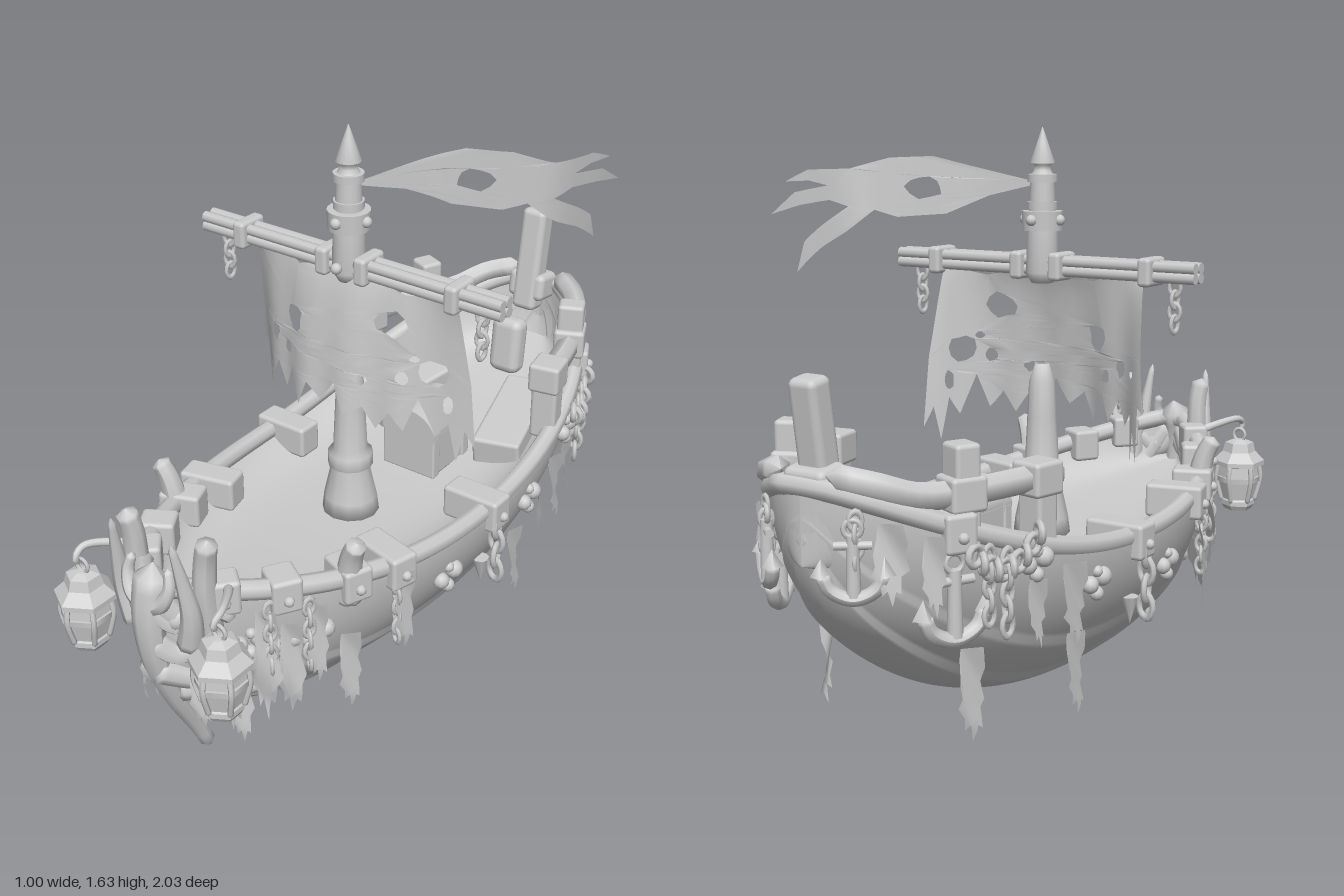
import * as THREE from 'three';
import { mergeVertices } from 'three/addons/utils/BufferGeometryUtils.js';
import { RoundedBoxGeometry } from 'three/addons/geometries/RoundedBoxGeometry.js';

const solid = new THREE.MeshStandardMaterial({ color: 0xcccccc });
const thin = new THREE.MeshStandardMaterial({ color: 0xcccccc, side: THREE.DoubleSide });
const V = (x, y, z) => new THREE.Vector3(x, y, z);
let seed = 7;
const rnd = () => (seed = (seed * 16807) % 2147483647) / 2147483647;

function add(parent, name, geo, p = [0, 0, 0], r = [0, 0, 0], mat = solid) {
  const m = new THREE.Mesh(geo, mat);
  m.name = name;
  m.position.set(...p);
  m.rotation.set(...r);
  parent.add(m);
  return m;
}
const box = (w, h, d, r = 0.012) => new RoundedBoxGeometry(w, h, d, 2, r);
const cyl = (a, b, h, n = 12) => new THREE.CylinderGeometry(a, b, h, n);
const lathe = (pts, n = 16) => new THREE.LatheGeometry(pts.map(p => new THREE.Vector2(...p)), n);

// Tube along points, its radius running from r0 to r1, with closed ends
function taper(pts, r0, r1 = r0, n = 8) {
  const c = new THREE.CatmullRomCurve3(pts.map(p => V(...p)));
  const g = new THREE.TubeGeometry(c, 20, 1, n), P = g.attributes.position, v = V();
  for (let i = 0; i < P.count; i++) {
    const u = g.attributes.uv.getX(i), o = c.getPointAt(u);
    const r = (u === 0 || u === 1) ? 0.001 : r0 + (r1 - r0) * u;
    v.fromBufferAttribute(P, i).sub(o).multiplyScalar(r).add(o);
    P.setXYZ(i, v.x, v.y, v.z);
  }
  g.computeVertexNormals();
  return g;
}

// Cloth: flat outline with holes, finely divided and then bent by a rule
function cloth(outline, holes, warp, levels = 2) {
  const shape = new THREE.Shape(outline.map(p => new THREE.Vector2(...p)));
  for (const [x, y, rx, ry] of holes) {
    const pts = [];
    for (let i = 0; i < 10; i++) {
      const a = i / 10 * Math.PI * 2, k = 0.75 + 0.4 * rnd();
      pts.push(new THREE.Vector2(x + rx * k * Math.cos(a), y + ry * k * Math.sin(a)));
    }
    shape.holes.push(new THREE.Path(pts));
  }
  let tri = Array.from(new THREE.ShapeGeometry(shape).toNonIndexed().attributes.position.array);
  for (let l = 0; l < levels; l++) {
    const out = [];
    for (let i = 0; i < tri.length; i += 9) {
      const [a, b, c] = [0, 3, 6].map(k => tri.slice(i + k, i + k + 3));
      const mid = (p, q) => p.map((e, k) => (e + q[k]) / 2);
      const ab = mid(a, b), bc = mid(b, c), ca = mid(c, a);
      out.push(...a, ...ab, ...ca, ...ab, ...b, ...bc, ...ca, ...bc, ...c, ...ab, ...bc, ...ca);
    }
    tri = out;
  }
  for (let i = 0; i < tri.length; i += 3) tri.splice(i, 3, ...warp(tri[i], tri[i + 1]));
  const g = new THREE.BufferGeometry();
  g.setAttribute('position', new THREE.Float32BufferAttribute(tri, 3));
  const m = mergeVertices(g);
  m.computeVertexNormals();
  return m;
}

// Hull lines: half width, sheer and keel height along z
const halfW = z => {
  const u = Math.min(1, z > -0.05 ? (z + 0.05) / 0.97 : (-0.05 - z) / 0.93);
  return 0.41 * (z > -0.05 ? (1 - u ** 2.3) ** 0.8 : (1 - u ** 2.5) ** 0.55);
};
const sheer = z => 0.53 + (z > 0 ? 0.16 : 0.288) * z * z;
const keelY = z => {
  const t = z > 0 ? z / 0.93 : -z / 0.98;
  return 0.085 + (z > 0 ? 0.31 * t ** 4.4 : 0.47 * t ** 2.4 + 0.12 * t ** 20);
};
const floorY = z => 0.45 + 0.55 * (sheer(z) - 0.53);
const POW = 1.85;
const hullX = (z, y) => {
  const f = Math.min(1, Math.max(0, (sheer(z) - y) / (sheer(z) - keelY(z))));
  return halfW(z) * (1 - f ** POW) ** (1 / POW);
};
const bowZ = (x, y) => {
  let a = 0.1, b = 0.92;
  for (let i = 0; i < 20; i++) { const m = (a + b) / 2; if (hullX(m, y) > x) a = m; else b = m; }
  return a;
};
const stationZ = u => -0.03 + 0.95 * Math.sin((u - 0.5) * Math.PI);

function surface(fn, nu, nv) {
  const g = new THREE.PlaneGeometry(1, 1, nu, nv), P = g.attributes.position;
  for (let i = 0; i < P.count; i++) P.setXYZ(i, ...fn(P.getX(i) + 0.5, P.getY(i) + 0.5));
  g.computeVertexNormals();
  return g;
}

// Mirrored groups lying on the hull side, with local +z pointing outward
function onSides(root, name, z, y, build, inset = 1) {
  const yaw = Math.atan2(1, -(halfW(z + 0.01) - halfW(z - 0.01)) / 0.02);
  for (const s of [1, -1]) {
    const g = new THREE.Group();
    g.name = name;
    g.position.set(s * hullX(z, y) * inset, y, z);
    g.rotation.y = s * yaw;
    root.add(g);
    build(g, s);
  }
}
function chain(g, x, y, z, n, r = 0.016) {
  for (let i = 0; i < n; i++)
    add(g, 'chainLink', new THREE.TorusGeometry(r, r * 0.38, 6, 12), [x, y - i * r * 2.1, z], [0, i % 2 ? 1.4 : 0.2, 0]).scale.y = 1.4;
}
function rag(g, w, len) {
  const o = [[-.35, 0], [-.42, -.2], [-.55, -.36], [-.5, -.5], [-.62, -.6], [-.36, -.72], [-.3, -.86], [-.14, -.8], [0, -1], [.12, -.82], [.28, -.86], [.32, -.66], [.58, -.6], [.42, -.4], [.5, -.25], [.35, 0]];
  add(g, 'rag', cloth(o.map(p => [p[0] * w, p[1] * len]), [], (a, b) => [a, b, 0.012 * Math.sin(b * 25 + a * 40)]), [0, 0, 0.025], [0, 0, 0], thin);
}
function anchor(g, x, y, k) {
  const a = new THREE.Group();
  a.name = 'anchor';
  a.position.set(x, y, 0.04);
  a.scale.setScalar(k);
  g.add(a);
  add(a, 'anchorShank', cyl(0.1, 0.12, 1));
  add(a, 'anchorStock', cyl(0.07, 0.07, 0.6), [0, 0.33, 0], [0, 0, Math.PI / 2]);
  add(a, 'anchorRing', new THREE.TorusGeometry(0.14, 0.05, 6, 14), [0, 0.6, 0]);
  add(a, 'anchorArms', taper([[-.5, -.1, 0], [-.36, -.4, 0], [0, -.55, 0], [.36, -.4, 0], [.5, -.1, 0]], 0.12));
  for (const s of [1, -1]) add(a, 'anchorFluke', new THREE.ConeGeometry(0.18, 0.3, 4), [s * 0.5, -0.02, 0]);
}

export function createModel() {
  const root = new THREE.Group();
  root.name = 'raggedSailingBoat';

  // Hull with lapped planks, inner bowl and rolled rim
  add(root, 'hull', surface((u, v) => {
    const z = stationZ(u), t = v * Math.PI, c = Math.cos(t), s = Math.sin(t), off = Math.abs(v - 0.5);
    const d = (off < 0.28 ? 0.008 : 0) + (off < 0.16 ? 0.012 : 0);
    return [Math.sign(c) * halfW(z) * Math.abs(c) ** (2 / POW) + d * c,
      sheer(z) - (sheer(z) - keelY(z)) * s ** (2 / POW) - d * s, z];
  }, 64, 80), undefined, undefined, thin);
  add(root, 'deck', surface((u, v) => {
    const z = stationZ(u), k = v * 2 - 1;
    return [k * halfW(z) * 0.95, floorY(z) + (sheer(z) - floorY(z)) * Math.abs(k) ** 5, z];
  }, 48, 40), undefined, undefined, thin);
  const rim = [];
  for (let i = 0; i < 64; i++) {
    const a = i / 64 * Math.PI * 2, z = -0.03 + 0.93 * Math.cos(a);
    rim.push(V(Math.sign(Math.sin(a)) * halfW(z) * 0.95, sheer(z), z));
  }
  add(root, 'rim', new THREE.TubeGeometry(new THREE.CatmullRomCurve3(rim, true), 160, 0.028, 8, true));

  // Mast: broken lower stump, upper part with collars and spike
  add(root, 'mastStump', lathe([[.001, .44], [.085, .44], [.078, .5], [.056, .6], [.066, .605], [.066, .645], [.05, .66], [.043, .8], [.038, .9], [.02, .955], [.001, .93]], 12), [0, 0, 0.08]);
  add(root, 'mastTop', lathe([[.001, 1.19], [.032, 1.19], [.048, 1.22], [.044, 1.34]]), [0, 0, 0.08]);
  add(root, 'mastCollar', cyl(0.06, 0.058, 0.055, 16), [0, 1.367, 0.08]);
  add(root, 'mastNeck', cyl(0.034, 0.04, 0.13, 16), [0, 1.42, 0.08]);
  for (const y of [1.41, 1.487]) add(root, 'mastRing', cyl(0.043, 0.043, 0.022, 16), [0, y, 0.08]);
  add(root, 'mastSpike', lathe([[.034, 1.495], [.024, 1.51], [.024, 1.525], [.036, 1.53], [.015, 1.59], [.001, 1.63]]), [0, 0, 0.08]);
  for (const [a, y] of [[0, 1.24], [0, 1.37], [1.57, 1.37], [-1.57, 1.37], [3.14, 1.37]])
    add(root, 'mastRivet', new THREE.SphereGeometry(0.016, 10, 8), [0.058 * Math.sin(a), y, 0.08 + 0.058 * Math.cos(a)]);

  // Yard of bundled spars with clamps and hanging chains
  for (const [y, z] of [[1.255, 0.065], [1.228, 0.065], [1.255, 0.098], [1.228, 0.098]])
    add(root, 'yardSpar', cyl(0.016, 0.016, 1, 8), [0, y, z], [0, 0, Math.PI / 2]);
  for (const s of [1, -1]) {
    for (const x of [0.065, 0.355]) add(root, 'yardClamp', box(0.04, 0.08, 0.1), [s * x, 1.24, 0.08]);
    chain(root, s * 0.43, 1.2, 0.08, 4, 0.016);
  }

  // Torn sail
  const edge = [[-.34, 1.225], [-.36, 1.0], [-.385, .86], [-.36, .87], [-.365, .72], [-.335, .8], [-.325, .7], [-.31, .84], [-.28, .8], [-.25, .87], [-.21, .8], [-.18, .88], [-.13, .79], [-.1, .87], [-.05, .83], [0, .9], [.04, .82], [.09, .85], [.13, .79], [.17, .85], [.21, .8], [.24, .9], [.28, .78], [.31, .83], [.33, .7], [.35, .8], [.37, .74], [.365, .95], [.34, 1.225], [.2, 1.2], [.1, 1.22], [-.1, 1.22], [-.16, 1.2], [-.22, 1.22]];
  const holes = [[-.165, 1.04, .036, .04], [.16, 1.11, .05, .04], [.275, .98, .035, .04], [.2, .96, .02, .02], [-.26, .96, .018, .028], [-.2, .93, .015, .02], [-.31, .97, .011, .03], [.31, .88, .014, .03], [.08, .93, .02, .015], [.23, 1.02, .012, .01]];
  add(root, 'sail', cloth(edge, holes, (x, y) => {
    const h = (Math.max(0, 1.23 - y) / 0.42) ** 0.45;
    return [x, y, 0.08 + h * (0.085 - 0.16 * (x / 0.36) ** 2) + 0.008 * Math.sin(x * 40) * h];
  }, 3), undefined, undefined, thin);

  // Streaming pennant with torn tails
  const wind = new THREE.CatmullRomCurve3([V(.035, 0, .07), V(.16, 0, -.09), V(.32, 0, -.185), V(.42, 0, -.26), V(.465, 0, -.4), V(.485, 0, -.53)]);
  const flag = [[0, 1.48], [.12, 1.51], [.28, 1.55], [.42, 1.545], [.6, 1.515], [.78, 1.515], [.9, 1.485], [.78, 1.485], [.7, 1.47], [.86, 1.455], [1, 1.4], [.84, 1.42], [.7, 1.43], [.62, 1.41], [.75, 1.36], [.84, 1.32], [.9, 1.24], [.76, 1.3], [.64, 1.34], [.5, 1.4], [.4, 1.38], [.25, 1.39], [.12, 1.44], [0, 1.465]];
  add(root, 'pennant', cloth(flag, [[.31, 1.465, .06, .035]], (u, y) => {
    const p = wind.getPoint(Math.min(1, Math.max(0, u)));
    return [p.x + (y - 1.46) * 0.15 * u, y, p.z];
  }, 3), undefined, undefined, thin);

  // Chest, benches, seat and stern post
  const chest = new THREE.Group();
  chest.name = 'chest';
  chest.position.set(0.03, 0.46, -0.268);
  root.add(chest);
  add(chest, 'chestBody', box(0.17, 0.15, 0.19), [0, 0.07, 0]);
  add(chest, 'chestLid', cyl(0.085, 0.085, 0.19, 20), [0, 0.14, 0], [Math.PI / 2, 0, 0]).scale.z = 0.75;
  for (const z of [-0.08, 0.08]) {
    add(chest, 'chestBand', cyl(0.093, 0.093, 0.035, 20), [0, 0.14, z], [Math.PI / 2, 0, 0]).scale.z = 0.77;
    add(chest, 'chestStrap', box(0.186, 0.14, 0.035, 0.006), [0, 0.07, z]);
  }
  for (const s of [1, -1]) add(root, 'bench', box(0.15, 0.13, 0.36), [s * 0.195, 0.515, -0.51], [0.14, s * 0.24, 0]);
  add(root, 'seatBack', box(0.11, 0.19, 0.075, 0.03), [0, 0.63, -0.785], [-0.1, 0, 0]);
  add(root, 'sternPost', box(0.085, 0.34, 0.075, 0.02), [0, 0.89, -0.915], [-0.14, 0, 0]);
  add(root, 'sternPostCollar', box(0.13, 0.09, 0.1, 0.02), [0, 0.8, -0.92], [-0.14, 0, 0]);

  // Stern rail with posts
  for (const s of [1, -1]) {
    add(root, 'sternRail', taper([[-.43, .88], [-.55, .88], [-.7, .89], [-.82, .93], [-.9, .98], [-.965, 1]].map(([z, k]) => [s * halfW(z) * k, z < -0.8 ? 0.765 + (-0.8 - z) * 0.4 : 0.765, z]), 0.036, 0.034, 6));
  }
  for (const [z, lo, hi] of [[-.46, .56, .81], [-.7, .62, .89]])
    onSides(root, 'sternRailPost', z, sheer(z), g => {
      add(g, 'railPost', box(0.07, hi - lo, 0.08), [0, (hi + lo) / 2 - sheer(z), 0]);
      add(g, 'railStrap', box(0.1, 0.09, 0.095), [0, 0.765 - sheer(z), 0]);
    }, 0.88);

  // Clamps over the rim, horned cleats and bow posts
  for (const [z, d] of [[-.06, .18], [.35, .17], [.49, .12], [.67, .1], [.8, .08], [-.74, .1]])
    onSides(root, 'rimClamp', z, sheer(z), g => {
      add(g, 'clampBlock', box(0.085, 0.1, d), [0, -0.012, 0.028 - d / 2]);
      add(g, 'clampRivet', new THREE.SphereGeometry(0.015, 8, 6), [0, -0.02, 0.03]);
    });
  onSides(root, 'cleat', 0.5, sheer(0.5), g => add(g, 'cleatHorn', taper([[0, -.08, -.02], [0, .02, -.01], [0, .08, .005], [0, .13, .03]], 0.042, 0.026)));
  onSides(root, 'bowPost', 0.835, sheer(0.835), g => add(g, 'bowPostTimber', taper([[.01, -.14, 0], [0, 0, .01], [.005, .1, .015], [.012, .17, .03]], 0.036, 0.028)));

  // Barnacle clusters on the planks
  for (const [z, y] of [[.14, .4], [-.27, .45], [.58, .42], [.66, .42], [.74, .45], [-.52, .56], [.76, .33]])
    onSides(root, 'barnacles', z, y, g => {
      for (const [x, v, r] of [[-.03, 0, .024], [.025, .012, .027], [0, -.03, .02], [.002, .03, .016]])
        add(g, 'barnacle', new THREE.SphereGeometry(r, 10, 8), [x, v, 0.008]);
    });

  // Rags, chains and anchors along the sides
  for (const [z, y, w, l] of [[.49, .39, .07, .25], [-.29, .31, .075, .23], [-.61, .34, .08, .25], [.35, .54, .07, .25], [-.4, .54, .09, .22], [.66, .5, .07, .3], [.72, .56, .07, .36], [.79, .5, .07, .32], [.6, .54, .06, .25], [.75, .36, .06, .24], [.84, .45, .06, .25], [-.88, .72, .08, .2], [-.8, .68, .06, .2], [-.52, .52, .06, .18]])
    onSides(root, 'hangingRag', z, y, g => rag(g, w, l));
  for (const [z, n, r] of [[-.05, 4, .024], [.37, 6, .016], [.62, 6, .017], [.71, 6, .017], [-.62, 5, .02], [-.67, 5, .018], [-.93, 4, .016]])
    onSides(root, 'sideChain', z, sheer(z) - 0.05, g => chain(g, 0, 0, 0.02, n, r));
  onSides(root, 'chainWeight', -0.05, 0.31, g => add(g, 'weight', new THREE.ConeGeometry(0.026, 0.08, 8), [0, 0, 0.03], [Math.PI, 0, 0]));
  onSides(root, 'chainSwag', -0.62, 0.58, g => {
    for (let i = 0; i < 10; i++)
      add(g, 'swagLink', new THREE.TorusGeometry(0.024, 0.01, 6, 12), [(i - 4.5) * 0.022, 0.003 * (i - 4) ** 2 - 0.01, 0.025], [0, i % 2 ? 1.2 : 0.2, 0.5]);
  });
  onSides(root, 'sternAnchor', -0.73, 0.5, g => anchor(g, 0, 0, 0.17));
  onSides(root, 'aftAnchor', -0.92, 0.62, g => anchor(g, 0, 0, 0.15));

  // Bow: tusk-like stem, ribs gripping the planks, and horns
  add(root, 'stem', taper([[0, .72, .9], [0, .58, .93], [0, .42, .915], [0, .27, .86], [0, .12, .785], [0, .005, .735]], 0.048, 0.022));
  for (const s of [1, -1]) {
    const hug = pts => pts.map(([x, y]) => [s * x, y, bowZ(x, y) + 0.012]);
    for (const pts of [[[0, .62], [.06, .55], [.11, .6], [.16, .55]], [[0, .5], [.05, .45], [.1, .47], [.15, .4]], [[0, .4], [.08, .34], [.15, .38], [.2, .42]], [[0, .28], [.07, .3], [.13, .26], [.19, .28]], [[.02, .64], [.09, .5], [.1, .38], [.06, .27]]])
      add(root, 'bowRib', taper(hug(pts), 0.036, 0.022));
    add(root, 'bowFang', taper([[s * .09, .48, .88], [s * .115, .6, .895], [s * .11, .72, .915], [s * .1, .83, .935]], 0.038, 0.008));
    add(root, 'stemHorn', taper([[0, .6, .93], [s * .05, .63, .93], [s * .07, .68, .92], [s * .06, .73, .91]], 0.028, 0.012));
    add(root, 'bowKnob', new THREE.SphereGeometry(0.035, 12, 8), [s * 0.06, 0.57, 0.89]);

    // Six-sided lantern on a hooked bracket
    const L = new THREE.Group();
    L.name = 'lantern';
    L.position.set(s * 0.235, 0, 0.925);
    root.add(L);
    add(L, 'bracket', taper([[-s * .1, .64, -.15], [-s * .04, .67, -.08], [0, .68, -.01], [0, .66, .02], [0, .635, .01]], 0.014, 0.009));
    add(L, 'lanternRing', new THREE.TorusGeometry(0.02, 0.006, 6, 14), [0, 0.625, 0]);
    const body = lathe([[.001, .372], [.044, .375], [.054, .39], [.054, .405], [.05, .41], [.066, .48], [.062, .52], [.084, .525], [.084, .54], [.054, .57], [.046, .6], [.02, .61], [.001, .612]], 6).toNonIndexed();
    body.computeVertexNormals();
    add(L, 'lanternBody', body);
    add(L, 'lanternBand', cyl(0.073, 0.073, 0.016, 6), [0, 0.478, 0]);
    for (let i = 0; i < 6; i++) {
      const a = i * Math.PI / 3, c = Math.sin(a), d = Math.cos(a);
      add(L, 'lanternBar', taper([[.053 * c, .4, .053 * d], [.072 * c, .48, .072 * d], [.066 * c, .53, .066 * d]], 0.008, 0.008, 6));
    }
  }
  return root;
}
